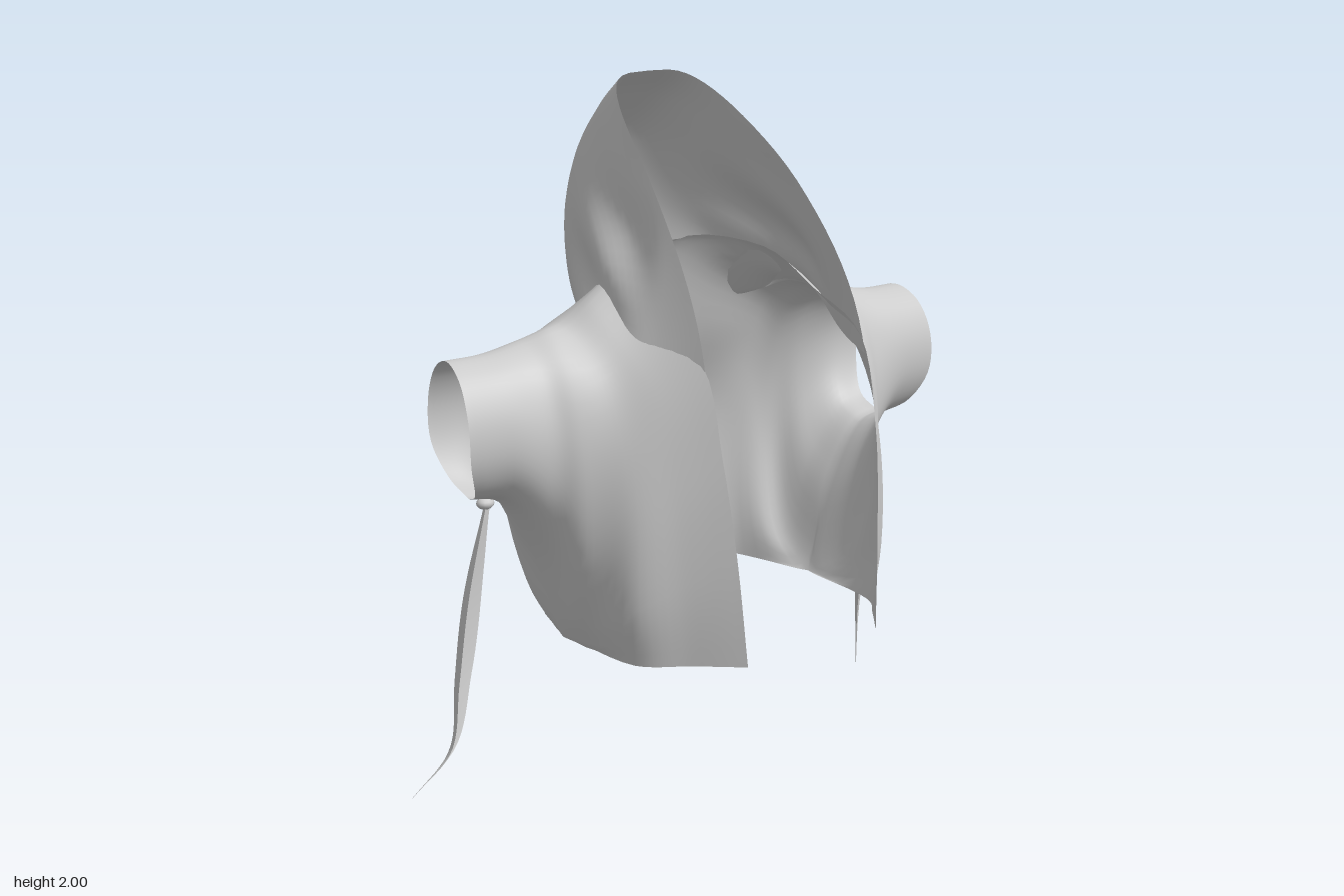
import * as THREE from 'three';
import { mergeGeometries, mergeVertices } from 'three/addons/utils/BufferGeometryUtils.js';

const CX = 0.077; // the garment hangs a little to its left
const cloth = new THREE.MeshStandardMaterial({ color: 0xcccccc, side: THREE.DoubleSide });
const { smoothstep } = THREE.MathUtils;

const curve = pts => new THREE.CatmullRomCurve3(pts.map(p => p.isVector3 ? p : new THREE.Vector3(...p)), false, 'centripetal');

// Triangulated sheet from a grid of points
function sheet(rows, flip) {
  const w = rows[0].length, index = [];
  for (let i = 0; i < rows.length - 1; i++) for (let j = 0; j < w - 1; j++) {
    const a = i * w + j, b = a + 1, c = a + w, d = c + 1;
    index.push(...(flip ? [a, b, c, b, d, c] : [a, c, b, b, c, d]));
  }
  const g = new THREE.BufferGeometry();
  g.setAttribute('position', new THREE.Float32BufferAttribute(rows.flat().flatMap(p => [p.x, p.y, p.z]), 3));
  g.setIndex(index);
  return g;
}

// Smooth grid through a list of sections, each holding the same number of points
function loft(sections, along, across) {
  const n = (sections[0].length - 1) * along, m = (sections.length - 1) * across;
  const fine = sections.map(s => curve(s)).map(c => Array.from({ length: n + 1 }, (_, j) => c.getPoint(j / n)));
  const columns = Array.from({ length: n + 1 }, (_, j) => curve(fine.map(f => f[j])));
  return Array.from({ length: m + 1 }, (_, i) => columns.map(c => c.getPoint(i / m)));
}

// Both halves, welded where they meet on the centre line; the opening sits slightly to the left
function mirrored(name, rows, flip, bend = p => p) {
  const halves = [1, -1].map(side => sheet(rows.map(r => r.map(p => {
    const q = bend(p.clone(), side), d = Math.max(0, q.x);
    q.x = CX + side * d + 0.015 * (1 - smoothstep(d, .3, .5));
    return q;
  })), (side > 0) === flip));
  const g = mergeVertices(mergeGeometries(halves), 1e-4);
  g.computeVertexNormals();
  const mesh = new THREE.Mesh(g, cloth);
  mesh.name = name;
  return mesh;
}

// Closed loop round the sleeve: underarm, front, top, back, underarm
function sleeveLoop(d, cy, cz, ry, rz, slant) {
  return Array.from({ length: 11 }, (_, i) => {
    const a = i / 10 * Math.PI * 2, c = Math.cos(a), s = Math.sin(a);
    return [d + slant * (0.4 * s - Math.max(0, c) ** 2), cy - ry * c, cz + rz * s];
  });
}

// Body sections run front hem -> shoulder -> back hem, stepping outwards to the cuff
function body() {
  // Front opening, neckline, then down the spine
  const opening = [[.235, .475, .515], [.255, .78, .49], [.275, 1.05, .45], [.283, 1.3, .37], [.31, 1.39, .14],
    [.27, 1.49, -.04], [0, 1.525, -.12], [0, 1.28, -.2], ...[1, .73, .46].map(y => [0, y, -.25])];
  const chest = [[.43, .455, .28], [.455, .62, .3], [.455, .88, .3], [.45, 1.1, .25], [.44, 1.28, .14],
    [.44, 1.365, -.04], [.42, 1.31, -.17], [.39, 1.15, -.24], [.37, .93, -.28], [.36, .68, -.29], [.36, .46, -.28]];
  // Halfway between them, with the shoulder blades pushed back
  const blades = opening.map((p, i) => p.map((v, k) => (v + chest[i][k]) / 2 - (k === 2 && i > 7 ? .05 : 0)));
  // Guide section that keeps the spine smooth and lets the front edge run straight
  const guide = opening.map((p, i) => p.map((v, k) => i < 6 ? 2 * v - blades[i][k] : blades[i][k] * (k ? 1 : -1)));
  const across = 6;
  const rows = loft([
    guide, opening, blades, chest,
    sleeveLoop(.51, .905, -.02, .45, .225, .05),
    sleeveLoop(.58, 1.03, -.03, .305, .175, .03),
    sleeveLoop(.69, 1.105, -.03, .21, .15, .03),
    sleeveLoop(.81, 1.115, -.035, .197, .145, .06),
  ], 5, across).slice(across);
  // Level the hem, then close the side and underarm seam
  rows.flat().forEach(p => { p.y = Math.max(p.y, .455); });
  rows.slice(3 * across).forEach(r => {
    const a = r[0], b = r[r.length - 1];
    a.lerp(b, 0.5);
    b.copy(a);
  });
  return mirrored('body', rows, true);
}

// Half arch from a point on the shoulder, flaring at its foot, up to the crown centre
function arch([x, y, z, crownY, crownZ, round]) {
  return Array.from({ length: 25 }, (_, i) => {
    const u = i / 24, s = Math.sin(u * Math.PI / 2), c = Math.max(0, Math.cos(u * Math.PI / 2));
    return [.275 * c ** round + (x - .275) * (1 - u) ** 2, y + (crownY - y) * s, z + (crownZ - z) * s * (.2 + .8 * s)];
  });
}

// Hood arches step from the rim over the bulging back and under to the neck seam
function hood() {
  const rows = loft([
    [.283, 1.25, .388, 2, -.24, .5],
    [.34, 1.27, .24, 1.92, -.34, .55],
    [.4, 1.34, .06, 1.78, -.46, .65],
    [.42, 1.36, -.03, 1.58, -.525, .75],
    [.39, 1.36, -.09, 1.36, -.45, .75],
    [.35, 1.35, -.14, 1.28, -.33, .75],
    [.33, 1.41, -.04, 1.53, -.12, .75],
  ].map(arch), 1, 7);
  // Soft folds low on the sides, fuller on the left
  return mirrored('hood', rows, false, (p, side) => {
    const low = smoothstep(p.x, .2, .36) * smoothstep(-p.z, -.2, 0);
    p.x += low * (0.018 * Math.sin(p.y * 26 + p.z * 14) + 0.03 * side);
    return p;
  });
}

// Tapering, slightly cupped ribbon hanging from the underarm
function ribbon(name, path) {
  const c = curve(path), dir = new THREE.Vector3(.75, 0, -.6), cup = new THREE.Vector3(.6, 0, .72);
  const rows = Array.from({ length: 31 }, (_, i) => {
    const t = i / 30, p = c.getPoint(t);
    const width = .004 + .036 * (1 - t) + .1 * Math.sin(Math.PI * t ** .7) ** 2;
    return [-1, -.5, 0, .5, 1].map(k =>
      p.clone().addScaledVector(dir, k * width / 2).addScaledVector(cup, (k * k - .5) * width * .3));
  });
  const g = sheet(rows, false);
  g.computeVertexNormals();
  const mesh = new THREE.Mesh(g, cloth);
  mesh.name = name;
  return mesh;
}

function knot(name, x) {
  const mesh = new THREE.Mesh(new THREE.SphereGeometry(.022, 12, 8), cloth);
  mesh.scale.set(1.2, .8, 1);
  mesh.position.set(x, .892, -.05);
  mesh.name = name;
  return mesh;
}

export function createModel() {
  const group = new THREE.Group();
  group.name = 'croppedHoodedJacket';
  group.add(
    body(), hood(),
    knot('leftKnot', CX + .69), knot('rightKnot', CX - .69),
    ribbon('leftRibbon', [[.77, .89, -.05], [.825, .67, -.1], [.86, .43, -.13], [.89, .22, -.175], [.915, 0, -.2]]),
    ribbon('rightRibbon', [[-.61, .89, -.05], [-.68, .65, -.035], [-.73, .42, -.015], [-.78, .23, .01], [-.92, .13, .03]]),
  );
  return group;
}
